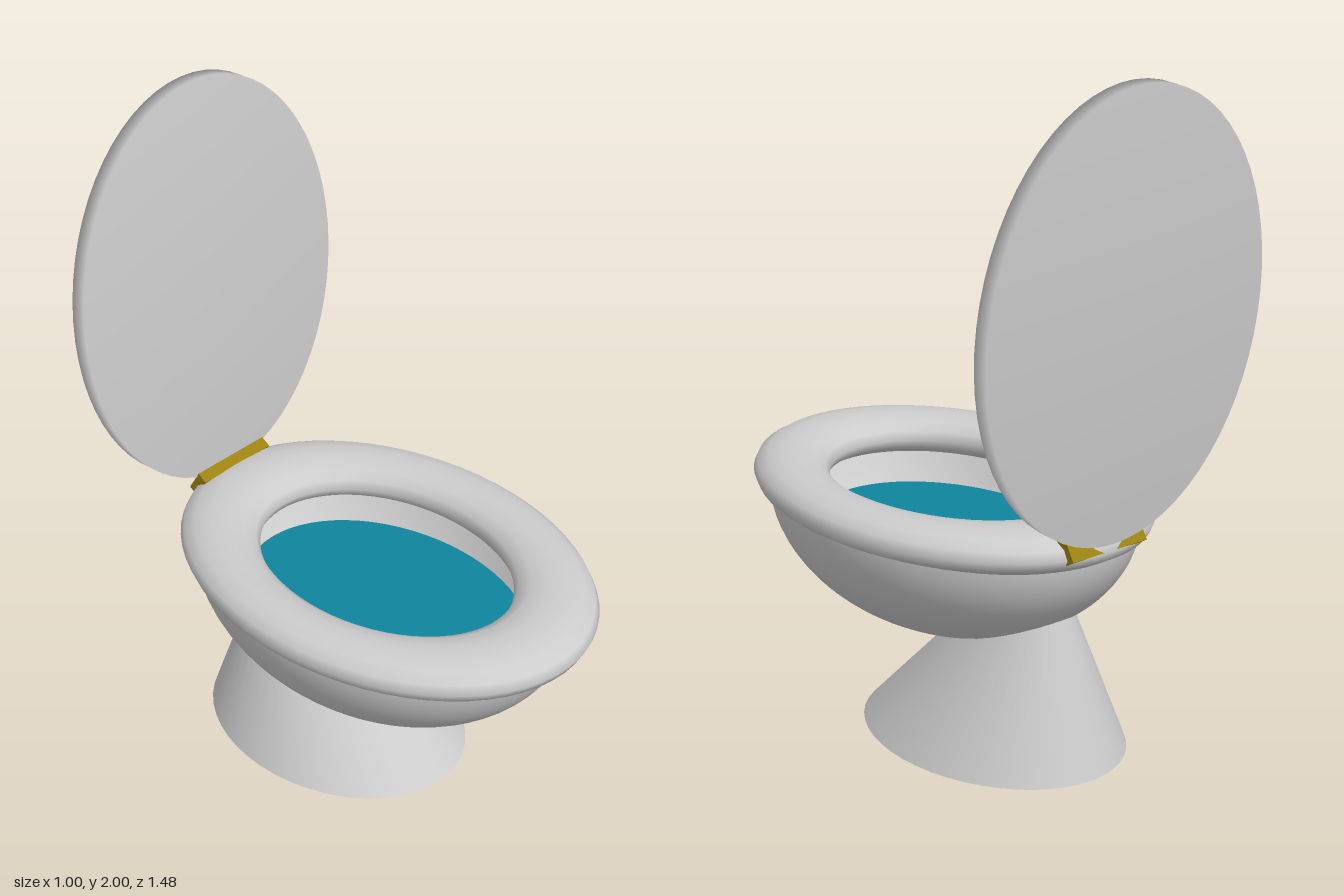
import * as THREE from 'three';

const white = new THREE.MeshStandardMaterial({ color: 0xcccccc });
white.name = 'porcelain white';
white.side = THREE.DoubleSide;
const gold = new THREE.MeshStandardMaterial({ color: 0x9c8210 });
gold.name = 'brass';
const teal = new THREE.MeshStandardMaterial({ color: 0x0f859e });
teal.name = 'water teal';

export function createModel() {
  const group = new THREE.Group();
  const add = (name, geometry, material, x, y, z) => {
    const mesh = new THREE.Mesh(geometry, material);
    mesh.name = name;
    mesh.position.set(x, y, z);
    group.add(mesh);
    return mesh;
  };

  // Bowl: outer half ellipsoid, stretched front to back
  const outer = [];
  for (let i = 0; i <= 20; i++) {
    const a = (i / 20) * Math.PI / 2;
    outer.push(new THREE.Vector2(0.48 * Math.sin(a), -0.405 * Math.cos(a)));
  }
  const bowl = add('bowl', new THREE.LatheGeometry(outer, 64), white, 0, 0.69, 0.035);
  bowl.scale.z = 1.31;

  // Inner wall from the seat down to the water
  const inner = [[0.41, 0.69], [0.385, 0.62], [0.34, 0.54]].map(p => new THREE.Vector2(...p));
  const wall = add('innerWall', new THREE.LatheGeometry(inner, 64), white, 0, 0, 0.045);
  wall.scale.z = 1.38;

  // Water surface
  const water = add('water', new THREE.CircleGeometry(0.35, 64).rotateX(-Math.PI / 2), teal, 0, 0.55, 0.045);
  water.scale.z = 1.38;

  // Seat ring: flattened oval torus
  const seat = add('seat', new THREE.TorusGeometry(0.4025, 0.0985, 14, 64).rotateX(Math.PI / 2), white, 0, 0.702, 0.045);
  seat.scale.set(1, 0.64, 1.385);

  // Pedestal: oval cone leaning backwards into the bowl
  const height = 0.5;
  const cone = new THREE.CylinderGeometry(0.25, 1, height, 48).translate(0, height / 2, 0);
  cone.scale(0.34, 1, 0.443);
  const pos = cone.attributes.position;
  for (let i = 0; i < pos.count; i++) pos.setZ(i, pos.getZ(i) - 0.335 * pos.getY(i));
  cone.computeVertexNormals();
  add('pedestal', cone, white, 0, 0, -0.157);

  // Raised lid: softly shaded oval disc
  const t = 0.024;
  const disc = [[0, -t], [1, -t], [1, t], [0, t]].map(p => new THREE.Vector2(...p));
  const lidGeometry = new THREE.LatheGeometry(disc, 64);
  lidGeometry.rotateX(Math.PI / 2);
  const lid = add('lid', lidGeometry, white, 0, 1.365, -0.677);
  lid.scale.set(0.486, 0.636, 1);
  lid.rotation.x = -0.071;

  // Hinge block behind the seat
  const hinge = add('hinge', new THREE.BoxGeometry(0.27, 0.08, 0.035), gold, 0, 0.73, -0.61);
  hinge.rotation.x = 0.55;

  return group;
}
